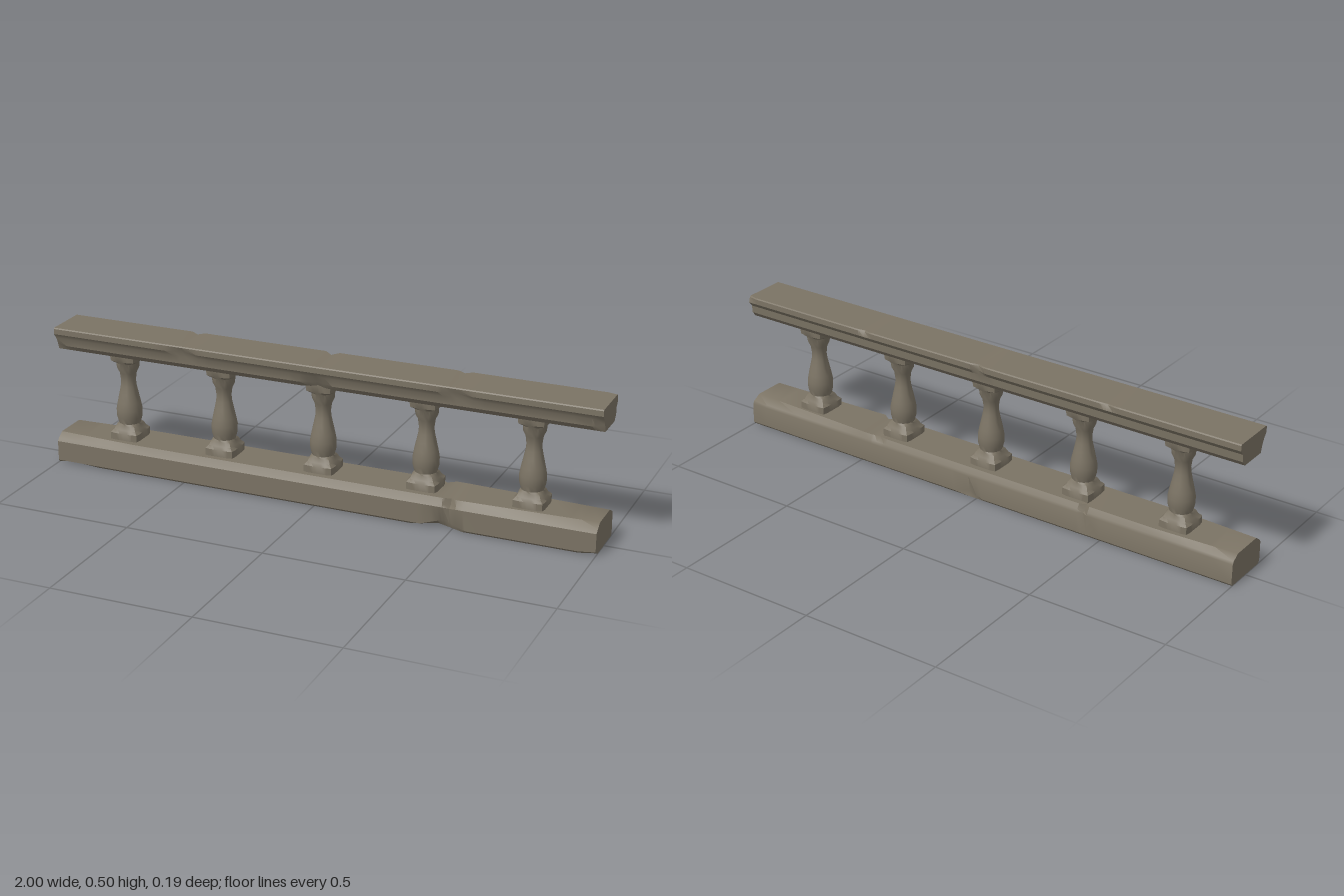
import * as THREE from 'three';
import { toCreasedNormals } from 'three/addons/utils/BufferGeometryUtils.js';

const stone = new THREE.MeshStandardMaterial({ color: 0x7b7364 });
stone.name = 'weathered stone';

// Rail: a (z, y) profile swept along x; each chip [x, halfWidth, point, dz, dy] pulls one corner in
function makeRail(name, profile, chips) {
  const n = profile.length;
  const xs = new Set();
  for (let i = 0; i <= 20; i++) xs.add(+(-1 + i * 0.1).toFixed(3));
  for (const [x, w] of chips) {
    for (const s of [x - w, x, x + w]) if (Math.abs(s) <= 1) xs.add(+s.toFixed(3));
  }
  const stations = [...xs].sort((a, b) => a - b);
  const cy = profile.reduce((sum, p) => sum + p[1], 0) / n;
  const pos = [], index = [];
  stations.forEach((x) => {
    profile.forEach(([z, y], k) => {
      let pz = z, py = y;
      for (const [cx, w, point, dz, dy] of chips) {
        const f = point === k ? Math.max(0, 1 - Math.abs(x - cx) / w) : 0;
        pz += dz * f;
        py += dy * f;
      }
      pos.push(x, py, pz);
    });
  });
  const last = (stations.length - 1) * n;
  for (let i = 0; i < last; i += n) {
    for (let k = 0; k < n; k++) {
      const a = i + k, d = i + (k + 1) % n;
      index.push(a, a + n, d, a + n, d + n, d);
    }
  }
  // End caps
  const c0 = pos.length / 3;
  pos.push(-1, cy, 0, 1, cy, 0);
  for (let k = 0; k < n; k++) {
    const m = (k + 1) % n;
    index.push(c0, k, m, c0 + 1, last + m, last + k);
  }
  const geo = new THREE.BufferGeometry();
  geo.setAttribute('position', new THREE.Float32BufferAttribute(pos, 3));
  geo.setIndex(index);
  const mesh = new THREE.Mesh(toCreasedNormals(geo, 0.6), stone);
  mesh.name = name;
  return mesh;
}

// Baluster rows: [radius, y, squareness], square at plinth and cap, round between
const rows = [
  [0.055, 0.1, 1], [0.055, 0.132, 1], [0.046, 0.142, 0.9], [0.042, 0.156, 0.6],
  [0.039, 0.163, 0], [0.045, 0.185, 0], [0.046, 0.213, 0], [0.041, 0.24, 0],
  [0.034, 0.272, 0], [0.028, 0.3, 0], [0.026, 0.32, 0], [0.03, 0.35, 0],
  [0.039, 0.368, 0], [0.04, 0.39, 0.2], [0.049, 0.4, 0.8], [0.05, 0.43, 1],
];

function makeBaluster() {
  const geo = new THREE.LatheGeometry(rows.map(([r, y]) => new THREE.Vector2(r, y)), 24);
  const p = geo.attributes.position;
  for (let i = 0; i < p.count; i++) {
    const x = p.getX(i), z = p.getZ(i), sq = rows[i % rows.length][2];
    const reach = Math.min(1.32, Math.hypot(x, z) / Math.max(Math.abs(x), Math.abs(z)));
    const s = 1 + (reach - 1) * sq;
    p.setXYZ(i, x * s, p.getY(i), z * s);
  }
  return toCreasedNormals(geo, 0.75);
}

export function createModel() {
  const group = new THREE.Group();
  group.name = 'balustrade';

  // Base rail with worn, cracked edges
  group.add(makeRail('baseRail', [
    [0.085, 0], [0.093, 0.008], [0.093, 0.08], [0.086, 0.09], [0.076, 0.107],
    [-0.074, 0.107], [-0.085, 0.09], [-0.09, 0.08], [-0.092, 0.008], [-0.085, 0],
  ], [
    [1, 0.5, 4, -0.018, 0], [1, 0.5, 5, 0.02, 0], [1, 0.4, 3, -0.006, 0.002],
    [1, 0.06, 0, -0.02, 0], [1, 0.06, 1, 0, 0.007],
    [-1, 0.3, 4, -0.014, 0], [-1, 0.3, 5, 0.014, 0], [-0.92, 0.08, 0, -0.02, 0.004],
    [0.49, 0.025, 2, -0.012, -0.006], [0.49, 0.025, 3, -0.018, -0.008], [0.49, 0.025, 4, -0.016, -0.004],
    [0.47, 0.08, 1, -0.014, 0.022], [0.45, 0.09, 0, -0.02, 0.008],
    [-0.43, 0.02, 6, 0.014, -0.006], [-0.43, 0.02, 5, 0.016, -0.004], [-0.43, 0.02, 7, 0.01, 0],
    [0.43, 0.03, 5, 0.012, -0.004], [0.03, 0.06, 8, 0.01, 0.012],
  ]));

  // Moulded handrail
  group.add(makeRail('handrail', [
    [0.053, 0.42], [0.068, 0.438], [0.07, 0.465], [0.083, 0.482], [0.083, 0.501], [0.08, 0.505],
    [-0.078, 0.505], [-0.081, 0.501], [-0.081, 0.482], [-0.067, 0.465], [-0.065, 0.438], [-0.05, 0.42],
  ], [
    [0, 0.025, 6, 0.016, -0.005], [0, 0.025, 7, 0.014, -0.005], [0, 0.03, 8, 0.01, 0],
    [-0.51, 0.025, 6, 0.01, -0.004], [-0.51, 0.025, 7, 0.009, -0.003],
    [0.48, 0.025, 7, 0.008, -0.003], [0.48, 0.025, 6, 0.01, -0.003],
    [-0.5, 0.06, 3, -0.008, 0.004], [0.5, 0.06, 3, -0.007, 0.004],
    [0, 0.06, 1, -0.008, 0.008], [0, 0.06, 0, -0.006, 0.004],
    [1, 0.04, 1, -0.008, 0.008], [-1, 0.04, 1, -0.008, 0.006],
    [1, 0.03, 6, 0.008, 0], [1, 0.03, 7, 0.006, 0],
  ]));

  // Five evenly spaced balusters
  const balusterGeometry = makeBaluster();
  for (let i = -2; i <= 2; i++) {
    const baluster = new THREE.Mesh(balusterGeometry, stone);
    baluster.name = 'baluster' + (i + 3);
    baluster.position.x = i * 0.376 - 0.002;
    group.add(baluster);
  }
  return group;
}
